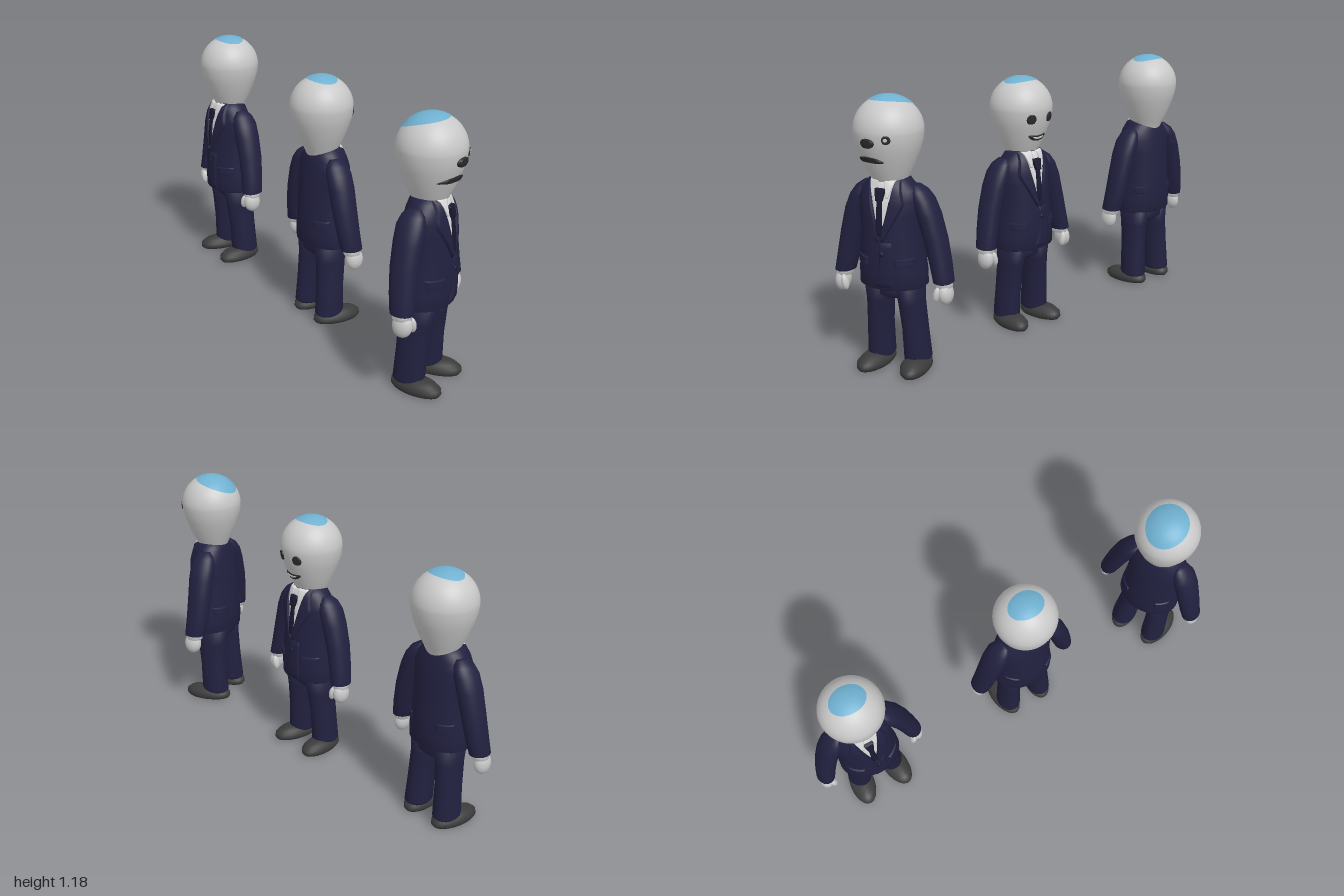
import * as THREE from 'three';

const mat = (name, color) => Object.assign(new THREE.MeshStandardMaterial({ color }), { name });
const M = {
  suit: mat('navy suit', 0x222140), skin: mat('pale skin', 0xc9c9c9), shirt: mat('white shirt', 0xd8d8d8),
  tie: mat('dark tie', 0x1a1a30), shoe: mat('dark shoe', 0x3b3b3b), ink: mat('face ink', 0x2c2c2c),
  blue: mat('blue crown', 0x6fb0d0),
};

function add(parent, name, geo, material) {
  const m = new THREE.Mesh(geo, material);
  m.name = name;
  parent.add(m);
  return m;
}

function buildGeometry(pos, idx) {
  const g = new THREE.BufferGeometry();
  g.setAttribute('position', new THREE.Float32BufferAttribute(pos, 3));
  g.setIndex(idx);
  g.computeVertexNormals();
  return g;
}

// Closed solid through elliptical rings [y, rx, rz, cx, cz], from bottom to top
function loft(rings, n = 36) {
  const pos = [], idx = [];
  for (const [y, rx, rz, cx = 0, cz = 0] of rings)
    for (let j = 0; j < n; j++) {
      const a = (j / n) * Math.PI * 2;
      pos.push(cx + rx * Math.cos(a), y, cz + rz * Math.sin(a));
    }
  const last = rings.length - 1;
  for (let i = 0; i < last; i++)
    for (let j = 0; j < n; j++) {
      const a = i * n + j, b = i * n + (j + 1) % n;
      idx.push(a, a + n, b, a + n, b + n, b);
    }
  for (const [k, top] of [[0, false], [last, true]]) {
    const [y, , , cx = 0, cz = 0] = rings[k], c = pos.length / 3;
    pos.push(cx, y, cz);
    for (let j = 0; j < n; j++) {
      const a = k * n + j, b = k * n + (j + 1) % n;
      idx.push(c, top ? b : a, top ? a : b);
    }
  }
  return buildGeometry(pos, idx);
}

// Front depth of a centred loft at x, y
function frontZ(rings, x, y) {
  let i = 0;
  while (i < rings.length - 2 && rings[i + 1][0] < y) i++;
  const [a, b] = [rings[i], rings[i + 1]];
  const t = THREE.MathUtils.clamp((y - a[0]) / (b[0] - a[0]), 0, 1);
  const rx = a[1] + (b[1] - a[1]) * t, rz = a[2] + (b[2] - a[2]) * t;
  return rz * Math.sqrt(Math.max(0, 1 - (x / rx) ** 2));
}

// Raised patch hugging the front of a loft; left and right edges depend on t (0 bottom, 1 top)
function patch(rings, y0, y1, left, right, lift, bend = () => 0) {
  const R = 16, C = 12, pos = [], idx = [];
  for (let i = 0; i <= R; i++)
    for (let j = 0; j <= C; j++) {
      const t = i / R, x = left(t) + (right(t) - left(t)) * j / C;
      const y = y0 + (y1 - y0) * t + bend(x);
      const edge = i === 0 || i === R || j === 0 || j === C;
      pos.push(x, y, frontZ(rings, x, y) + (edge ? -0.002 : lift));
    }
  for (let i = 0; i < R; i++)
    for (let j = 0; j < C; j++) {
      const a = i * (C + 1) + j, b = a + C + 1;
      idx.push(a, a + 1, b, a + 1, b + 1, b);
    }
  return buildGeometry(pos, idx);
}

function oval(rings, cx, cy, rx, ry, lift, bend = 0) {
  const w = t => rx * Math.sqrt(Math.max(0.01, 1 - (2 * t - 1) ** 2));
  return patch(rings, cy - ry, cy + ry, t => cx - w(t), t => cx + w(t), lift, x => bend * (x - cx) ** 2);
}

const JACKET = [
  [0.372, 0.135, 0.1], [0.38, 0.146, 0.112], [0.44, 0.144, 0.116], [0.52, 0.136, 0.114], [0.6, 0.13, 0.108],
  [0.68, 0.134, 0.102], [0.74, 0.138, 0.094], [0.78, 0.124, 0.084], [0.81, 0.094, 0.076], [0.836, 0.074, 0.066],
];
const HEAD = [[0.76, 0.055], [0.8, 0.068], [0.83, 0.081], [0.88, 0.105], [0.94, 0.127], [0.98, 0.138]]
  .map(([y, r]) => [y, r, r]);
for (let k = 0; k < 16; k++) {
  const a = (k / 16) * Math.PI / 2, r = 0.142 * Math.cos(a);
  HEAD.push([1.015 + 0.14 * Math.sin(a), r, r]);
}
HEAD.push([1.155, 0.002, 0.002]);

function makeJacket() {
  const g = new THREE.Group();
  g.name = 'jacket';
  g.position.z = 0.012;
  add(g, 'jacketBody', loft(JACKET, 48), M.suit);
  const v = t => 0.004 + 0.056 * t;
  add(g, 'shirtFront', patch(JACKET, 0.6, 0.832, t => -v(t), v, 0.004), M.shirt);
  const tieW = t => (t < 0.2 ? 0.004 + 0.06 * t : 0.016 - 0.005 * t);
  add(g, 'tieBlade', patch(JACKET, 0.6, 0.76, t => -tieW(t), tieW, 0.011), M.tie);
  const knotW = t => 0.014 + 0.012 * t;
  add(g, 'tieKnot', patch(JACKET, 0.745, 0.797, t => -knotW(t), knotW, 0.018), M.tie);
  // lapels, collar points and pocket flaps on both sides
  for (const s of [-1, 1]) {
    const strip = (name, y0, y1, inner, outer, lift, m) => add(g, name, s > 0
      ? patch(JACKET, y0, y1, inner, outer, lift)
      : patch(JACKET, y0, y1, t => -outer(t), t => -inner(t), lift), m);
    const outer = t => (t < 0.6 ? 0.012 + 0.14 * t : 0.096 - 0.07 * (t - 0.6));
    strip('lapel', 0.575, 0.832, t => Math.max(0.002, 0.056 * t), outer, 0.011, M.suit);
    strip('shirtCollar', 0.755, 0.83, t => 0.026 - 0.016 * t, t => 0.034 + 0.026 * t, 0.009, M.shirt);
    strip('pocketFlap', 0.475, 0.51, () => 0.06, () => 0.126, 0.009, M.suit);
    const back = strip('backFlap', 0.475, 0.51, () => 0.07, () => 0.126, 0.008, M.suit);
    back.rotation.y = Math.PI;
  }
  add(g, 'frontEdge', patch(JACKET, 0.385, 0.58, t => -0.004 - 0.03 * (1 - t) ** 4, () => 0.05, 0.006), M.suit);
  const button = add(g, 'button', new THREE.SphereGeometry(0.011, 16, 10), M.tie);
  button.position.set(0.008, 0.53, 0.12);
  button.scale.z = 0.5;
  return g;
}

function makeLimbs(s) {
  const g = new THREE.Group();
  g.name = s > 0 ? 'leftLimbs' : 'rightLimbs';
  const side = rings => loft(rings.map(([y, rx, rz, cx, cz]) => [y, rx, rz, s * cx, cz]));
  add(g, 'sleeve', side([
    [0.402, 0.034, 0.042, 0.226, 0.015], [0.406, 0.042, 0.05, 0.225, 0.014], [0.48, 0.045, 0.054, 0.21, 0.006],
    [0.58, 0.048, 0.058, 0.188, 0], [0.68, 0.05, 0.061, 0.16, 0], [0.74, 0.046, 0.06, 0.138, 0],
    [0.775, 0.036, 0.048, 0.122, 0], [0.797, 0.018, 0.026, 0.108, 0],
  ]), M.suit);
  add(g, 'cuff', side([[0.385, 0.034, 0.04, 0.228, 0.016], [0.43, 0.036, 0.044, 0.222, 0.013]]), M.shirt);
  const ball = (name, x, y, z, sx, sy, sz, tilt) => {
    const m = add(g, name, new THREE.SphereGeometry(1, 24, 16), M.skin);
    m.position.set(s * x, y, z);
    m.scale.set(sx, sy, sz);
    m.rotation.z = s * tilt;
  };
  ball('hand', 0.235, 0.36, 0.022, 0.031, 0.05, 0.042, 0.1);
  ball('thumb', 0.21, 0.358, 0.052, 0.015, 0.034, 0.018, -0.2);
  add(g, 'trouserLeg', side([
    [0.035, 0.05, 0.062, 0.085, -0.012], [0.045, 0.056, 0.068, 0.085, -0.012], [0.18, 0.052, 0.066, 0.08, -0.005],
    [0.3, 0.052, 0.072, 0.072, 0.003], [0.4, 0.062, 0.085, 0.066, 0.008],
  ]), M.suit);
  const shoe = add(g, 'shoe', loft([
    [0, 0.052, 0.106], [0.012, 0.06, 0.115], [0.03, 0.059, 0.113], [0.045, 0.047, 0.094], [0.056, 0.026, 0.06],
  ]), M.shoe);
  shoe.position.set(s * 0.093, 0, 0.025);
  shoe.rotation.y = s * 0.12;
  return g;
}

// Coloured oval on the crown, following the dome
function crown(a, b, cz) {
  const geo = new THREE.RingGeometry(0.001, 1, 40, 8).rotateX(-Math.PI / 2), p = geo.attributes.position;
  for (let i = 0; i < p.count; i++) {
    const x = p.getX(i) * a, z = p.getZ(i) * b + cz;
    p.setXYZ(i, x, 1.017 + 0.1405 * Math.sqrt(Math.max(0, 1 - (x * x + z * z) / 0.0204)), z);
  }
  geo.computeVertexNormals();
  return geo;
}

function makeHead(face) {
  const g = new THREE.Group();
  g.name = 'head';
  add(g, 'skull', loft(HEAD, 48), M.skin);
  add(g, 'crownPatch', face === 'smirk' ? crown(0.09, 0.096, -0.03) : crown(0.082, 0.064, 0), M.blue);
  if (face === 'smile') {
    for (const s of [-1, 1]) add(g, 'eye', oval(HEAD, s * 0.051, 0.985, 0.021, 0.023, 0.006), M.ink);
    add(g, 'mouth', oval(HEAD, 0, 0.892, 0.05, 0.013, 0.006, 6), M.ink);
    add(g, 'teeth', oval(HEAD, 0, 0.894, 0.034, 0.005, 0.009, 6), M.shirt);
  } else if (face === 'smirk') {
    add(g, 'darkEye', oval(HEAD, -0.022, 0.986, 0.032, 0.02, 0.011, 2), M.ink);
    add(g, 'eyeRim', oval(HEAD, 0.056, 1.003, 0.017, 0.018, 0.005), M.ink);
    add(g, 'eyeWhite', oval(HEAD, 0.056, 1.004, 0.008, 0.008, 0.008), M.skin);
    add(g, 'mouth', oval(HEAD, -0.03, 0.916, 0.066, 0.012, 0.008, -2), M.ink);
  }
  return g;
}

function makeFigure(name, face, x, z, yaw, scale) {
  const g = new THREE.Group();
  g.name = name;
  g.add(makeJacket(), makeLimbs(1), makeLimbs(-1));
  add(g, 'hips', loft([[0.315, 0.05, 0.05], [0.335, 0.105, 0.074], [0.42, 0.12, 0.085]]), M.suit);
  const head = makeHead(face);
  if (face === 'smirk') head.position.z = 0.012;
  g.add(head);
  g.position.set(x, 0, z);
  g.rotation.y = yaw;
  g.scale.setScalar(scale);
  return g;
}

export function createModel() {
  const model = new THREE.Group();
  model.name = 'threeSuitedFigures';
  model.add(
    makeFigure('frontFigure', 'smirk', -0.005, 0.825, 0.47, 1.02),
    makeFigure('middleFigure', 'smile', -0.03, 0.1, Math.PI / 2, 1),
    makeFigure('backFigure', 'none', -0.03, -0.735, -Math.PI / 2, 1),
  );
  return model;
}
